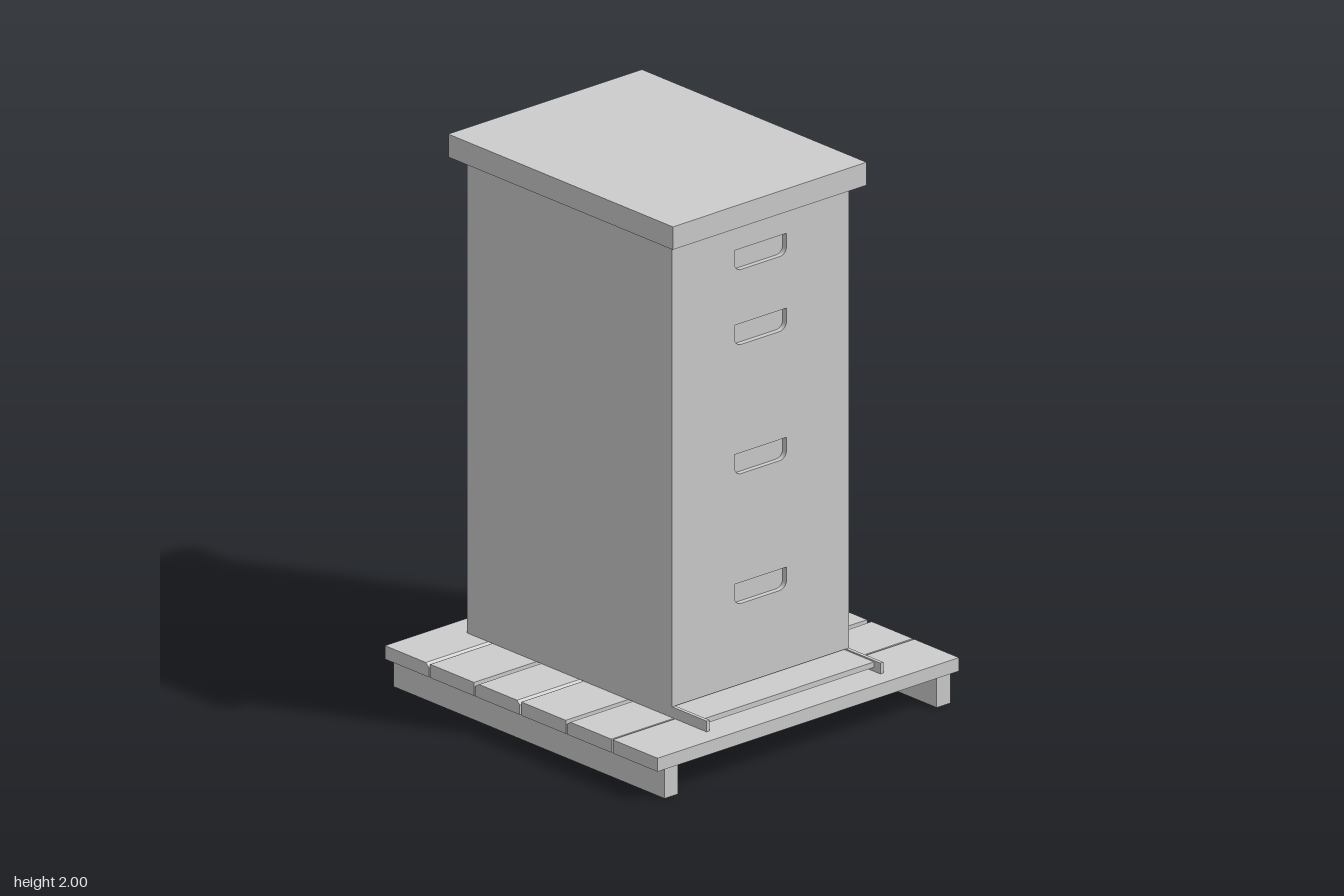
import * as THREE from 'three';

export function createModel() {
  const model = new THREE.Group();
  model.name = 'beehive';
  const wood = new THREE.MeshStandardMaterial({ color: 0xcccccc });
  wood.name = 'pale grey wood';

  const add = (name, geometry, parent = model) => {
    const mesh = new THREE.Mesh(geometry, wood);
    mesh.name = name;
    parent.add(mesh);
    return mesh;
  };
  // Box given by its limits on each axis
  const block = (name, [x0, x1], [y0, y1], [z0, z1], parent) => {
    const mesh = add(name, new THREE.BoxGeometry(x1 - x0, y1 - y0, z1 - z0), parent);
    mesh.position.set((x0 + x1) / 2, (y0 + y1) / 2, (z0 + z1) / 2);
    return mesh;
  };

  // Pallet slats: back z, front z, bevel on back edge, bevel on front edge
  const slats = [
    [0.47, 0.7, 0, 0],
    [0.234, 0.463, 0.018, 0],
    [0, 0.229, 0, 0],
    [-0.238, -0.008, 0.02, 0.013],
    [-0.468, -0.243, 0, 0],
    [-0.7, -0.475, 0, 0.015],
  ];
  const slatHalf = 0.696, slatY = 0.11, slatTop = 0.16, bevelDrop = 0.014;
  for (const [back, front, bevelBack, bevelFront] of slats) {
    // Section runs in (-z, y) and is extruded along x
    const section = new THREE.Shape();
    section.moveTo(-front, slatY);
    section.lineTo(-back, slatY);
    if (bevelBack) section.lineTo(-back, slatTop - bevelDrop);
    section.lineTo(-back - bevelBack, slatTop);
    section.lineTo(-front + bevelFront, slatTop);
    if (bevelFront) section.lineTo(-front, slatTop - bevelDrop);
    section.closePath();
    const geometry = new THREE.ExtrudeGeometry(section, { depth: slatHalf * 2, bevelEnabled: false });
    geometry.rotateY(Math.PI / 2);
    geometry.translate(-slatHalf, 0, 0);
    add('palletSlat', geometry);
  }

  // Pallet runners and bottom board rails
  const halfX = 0.408, backZ = -0.6, frontZ = 0.455;
  for (const side of [-1, 1]) {
    const span = (a, b) => (side > 0 ? [a, b] : [-b, -a]);
    block('palletRunner', span(0.597, 0.66), [0, 0.11], [-0.696, 0.696]);
    block('bottomBoardRail', span(0.394, halfX), [0.16, 0.2], [backZ, 0.632]);
  }
  block('bottomBoard', [-0.394, 0.394], [0.175, 0.195], [backZ, 0.6]);

  // Hand hold outline: square top, rounded lower corners
  const handHold = (top) => {
    const w = 0.12, bottom = top - 0.078, r = 0.03;
    const path = new THREE.Path();
    path.moveTo(-w, top);
    path.lineTo(-w, bottom + r);
    path.absarc(-w + r, bottom + r, r, Math.PI, Math.PI * 1.5, false);
    path.lineTo(w - r, bottom);
    path.absarc(w - r, bottom + r, r, Math.PI * 1.5, Math.PI * 2, false);
    path.lineTo(w, top);
    path.closePath();
    return path;
  };

  // Stacked hive boxes, each with a recessed hand hold at front and back
  const recess = 0.02;
  const levels = [0.2, 0.68, 1.16, 1.638, 1.915];
  for (let i = 0; i < levels.length - 1; i++) {
    const y0 = levels[i], y1 = levels[i + 1];
    const hiveBox = new THREE.Group();
    hiveBox.name = 'hiveBox';
    model.add(hiveBox);
    block('boxCore', [-halfX, halfX], [y0, y1], [backZ + recess, frontZ - recess], hiveBox);

    const face = new THREE.Shape();
    face.moveTo(-halfX, y0);
    face.lineTo(halfX, y0);
    face.lineTo(halfX, y1);
    face.lineTo(-halfX, y1);
    face.closePath();
    face.holes.push(handHold(y1 - 0.104));
    const panel = new THREE.ExtrudeGeometry(face, { depth: recess, bevelEnabled: false, curveSegments: 6 });
    add('frontPanel', panel, hiveBox).position.z = frontZ - recess;
    const backPanel = add('backPanel', panel, hiveBox);
    backPanel.rotation.y = Math.PI;
    backPanel.position.z = backZ + recess;
  }

  // Overhanging lid
  block('lid', [-0.447, 0.447], [1.915, 2], [-0.652, 0.502]);

  return model;
}
